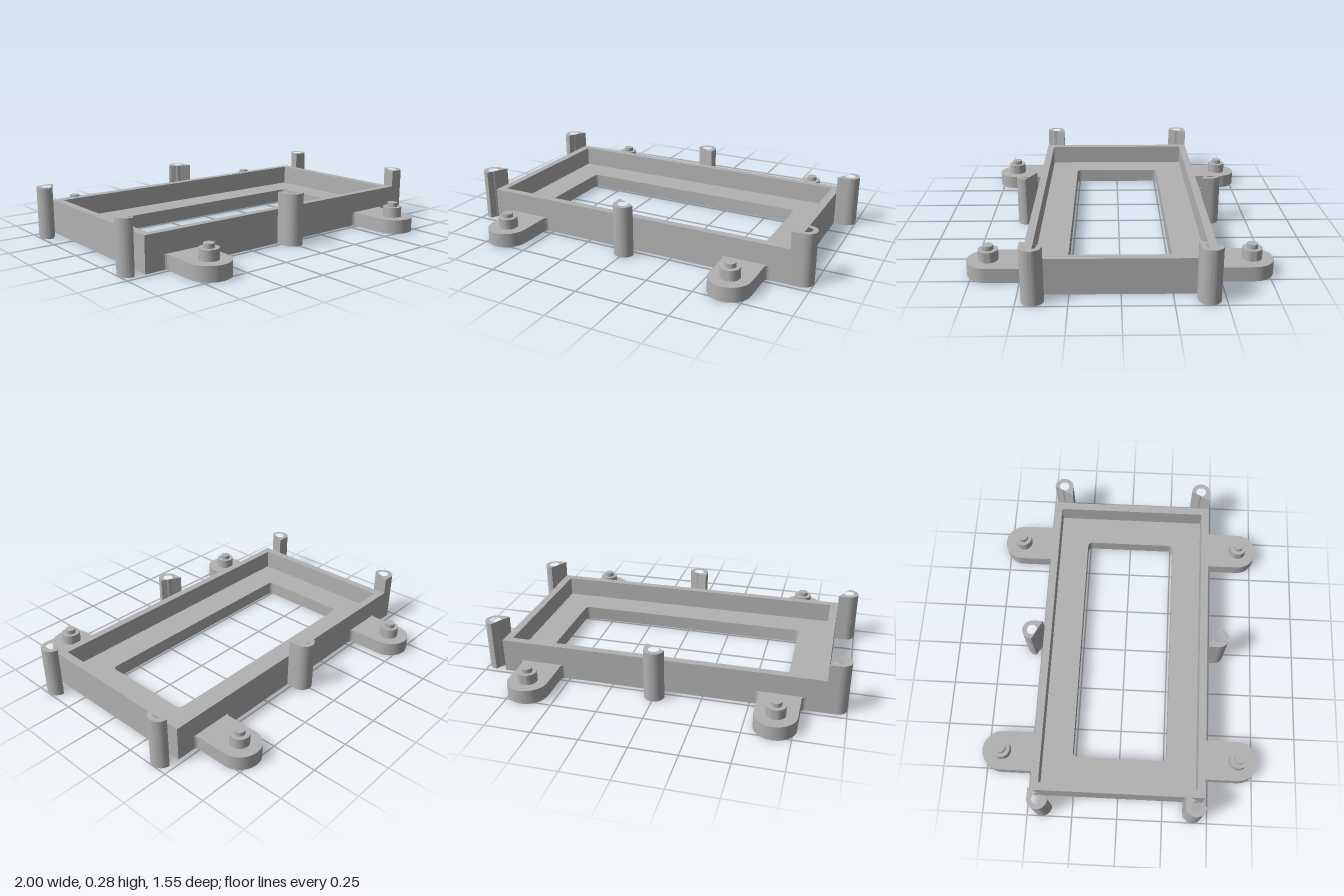
import * as THREE from 'three';
import { toCreasedNormals } from 'three/addons/utils/BufferGeometryUtils.js';

const W = 0.887, D = 0.474;            // half size of the tray
const FLOOR = 0.078, RIM = 0.189, LUG = 0.282;

// Upright prism: the plan's y axis becomes -z
function prism(shape, y0, y1) {
  const g = new THREE.ExtrudeGeometry(shape, { depth: y1 - y0, bevelEnabled: false, curveSegments: 16 });
  g.rotateX(-Math.PI / 2);
  g.translate(0, y0, 0);
  return toCreasedNormals(g, 0.6);
}

// Centred rectangle with optional rounded corners
function rect(Type, w, d, r = 0) {
  const p = new Type();
  if (!r) {
    p.moveTo(-w, -d).lineTo(w, -d).lineTo(w, d).lineTo(-w, d);
  } else {
    p.absarc(w - r, d - r, r, 0, Math.PI / 2);
    p.absarc(-w + r, d - r, r, Math.PI / 2, Math.PI);
    p.absarc(-w + r, -d + r, r, Math.PI, Math.PI * 1.5);
    p.absarc(w - r, -d + r, r, Math.PI * 1.5, Math.PI * 2);
  }
  p.closePath();
  return p;
}

// Tab with a flat base and a round end; optional fillets at the base and a hole
function tab(r, length, fillet, hole) {
  const s = new THREE.Shape();
  if (fillet) s.absarc(-r - fillet, fillet, fillet, -Math.PI / 2, 0);
  else s.moveTo(-r, 0);
  s.absarc(0, length, r, Math.PI, 0, true);
  if (fillet) s.absarc(r + fillet, fillet, fillet, Math.PI, Math.PI * 1.5);
  else s.lineTo(r, 0);
  s.closePath();
  if (hole) s.holes.push(new THREE.Path().absarc(0, length, hole, 0, Math.PI * 2, true));
  return s;
}

export function createModel() {
  const model = new THREE.Group();
  const grey = new THREE.MeshStandardMaterial({ color: 0xb2b2b2 });
  grey.name = 'grey plastic';

  const add = (parent, name, geometry) => {
    const m = new THREE.Mesh(geometry, grey);
    m.name = name;
    parent.add(m);
    return m;
  };

  // Floor with the window opening
  const floor = rect(THREE.Shape, W, D);
  floor.holes.push(rect(THREE.Path, 0.676, 0.264, 0.025));
  add(model, 'floor', prism(floor, 0, FLOOR));

  // Rim wall
  const wall = rect(THREE.Shape, W, D);
  wall.holes.push(rect(THREE.Path, 0.843, 0.432));
  add(model, 'rimWall', prism(wall, FLOOR, RIM));

  // Mounting ears with stepped pegs
  const earGeo = prism(tab(0.11, 0.191, 0.02), 0, FLOOR);
  const pegGeo = toCreasedNormals(new THREE.LatheGeometry([
    [0.051, FLOOR], [0.051, 0.134], [0.028, 0.134], [0.028, 0.157], [0, 0.157],
  ].map(([x, y]) => new THREE.Vector2(x, y)), 32), 0.6);
  for (const sx of [-1, 1]) for (const sz of [-1, 1]) {
    const ear = new THREE.Group();
    ear.name = 'mountingEar';
    add(ear, 'earPlate', earGeo);
    add(ear, 'peg', pegGeo).position.z = -0.19;
    ear.position.set(sx * 0.658, 0, sz * D);
    ear.rotation.y = sz > 0 ? Math.PI : 0;
    model.add(ear);
  }

  // Tall screw lugs, drilled through
  const lugGeo = prism(tab(0.055, 0.058, 0, 0.029), 0, LUG);
  for (const s of [-1, 1]) {
    const mid = add(model, 'middleLug', lugGeo);
    mid.position.z = s * D;
    mid.rotation.y = s > 0 ? Math.PI : 0;
    for (const sz of [-1, 1]) {
      const corner = add(model, 'cornerLug', lugGeo);
      corner.position.set(s * W, 0, sz * (D - 0.055));
      corner.rotation.y = -s * Math.PI / 2;
    }
  }
  return model;
}
